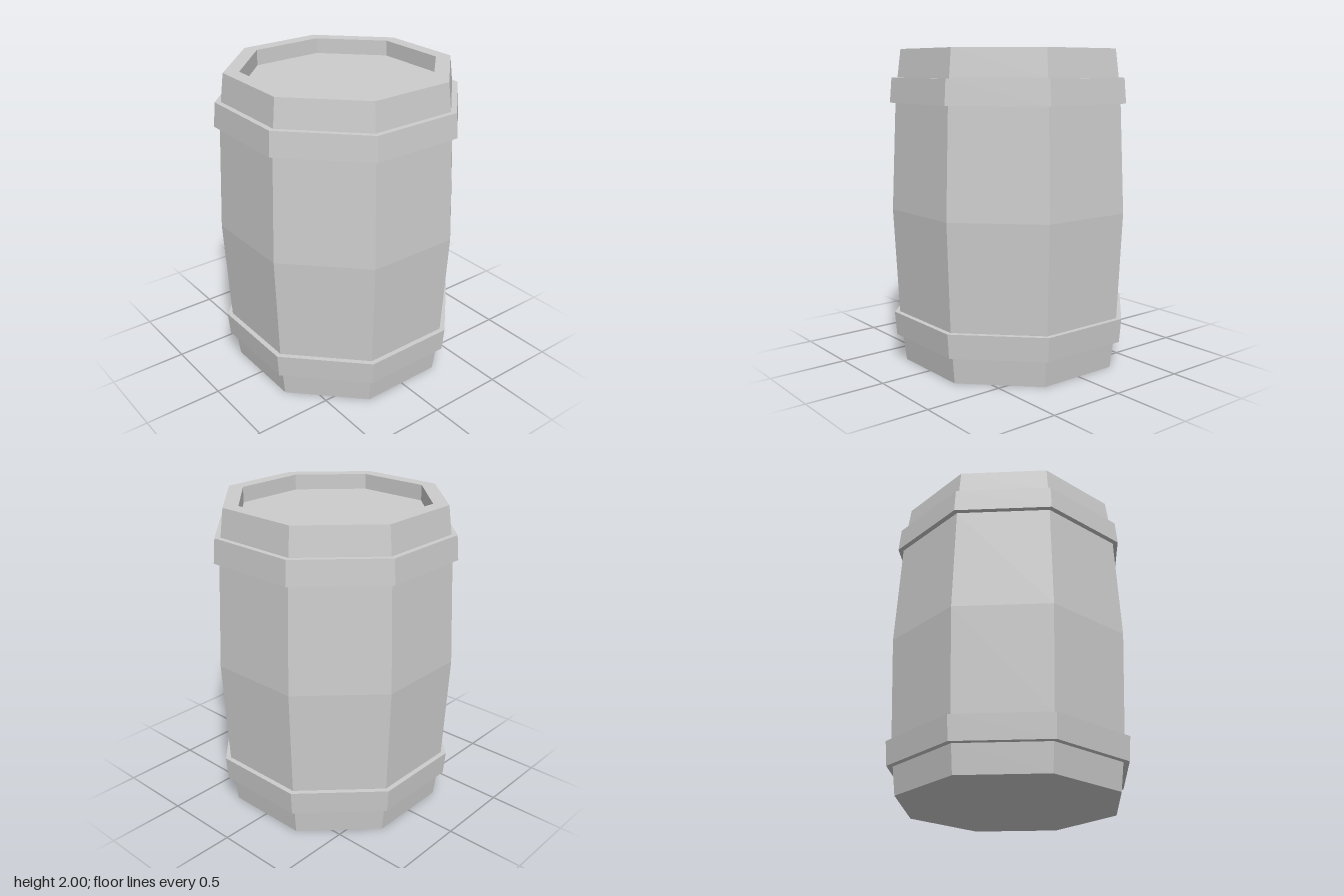
import * as THREE from 'three';

const SIDES = 8;

// Eight-sided turned solid; profile gives [flat-to-centre distance, height], bottom to top
function turned(name, profile, material) {
  const k = 1 / Math.cos(Math.PI / SIDES);
  const points = profile.map(([r, y]) => new THREE.Vector2(r * k, y));
  const mesh = new THREE.Mesh(new THREE.LatheGeometry(points, SIDES, Math.PI / SIDES), material);
  mesh.name = name;
  return mesh;
}

export function createModel() {
  const group = new THREE.Group();
  group.name = 'barrel';
  const grey = new THREE.MeshStandardMaterial({ color: 0xcccccc, flatShading: true });
  grey.name = 'light grey';

  // Bulging body with a recessed lid
  group.add(turned('body', [
    [0, 0], [0.66, 0], [0.68, 0.18], [0.695, 0.33], [0.724, 1],
    [0.695, 1.67], [0.68, 1.83], [0.66, 2],
    [0.57, 2], [0.57, 1.9], [0, 1.9],
  ], grey));

  // Hoops, mirrored about the middle, wider toward the belly
  const low = [[0.67, 0.175], [0.715, 0.175], [0.727, 0.328], [0.685, 0.328]];
  group.add(turned('lowerHoop', low, grey));
  group.add(turned('upperHoop', low.map(([r, y]) => [r, 2 - y]).reverse(), grey));

  return group;
}
